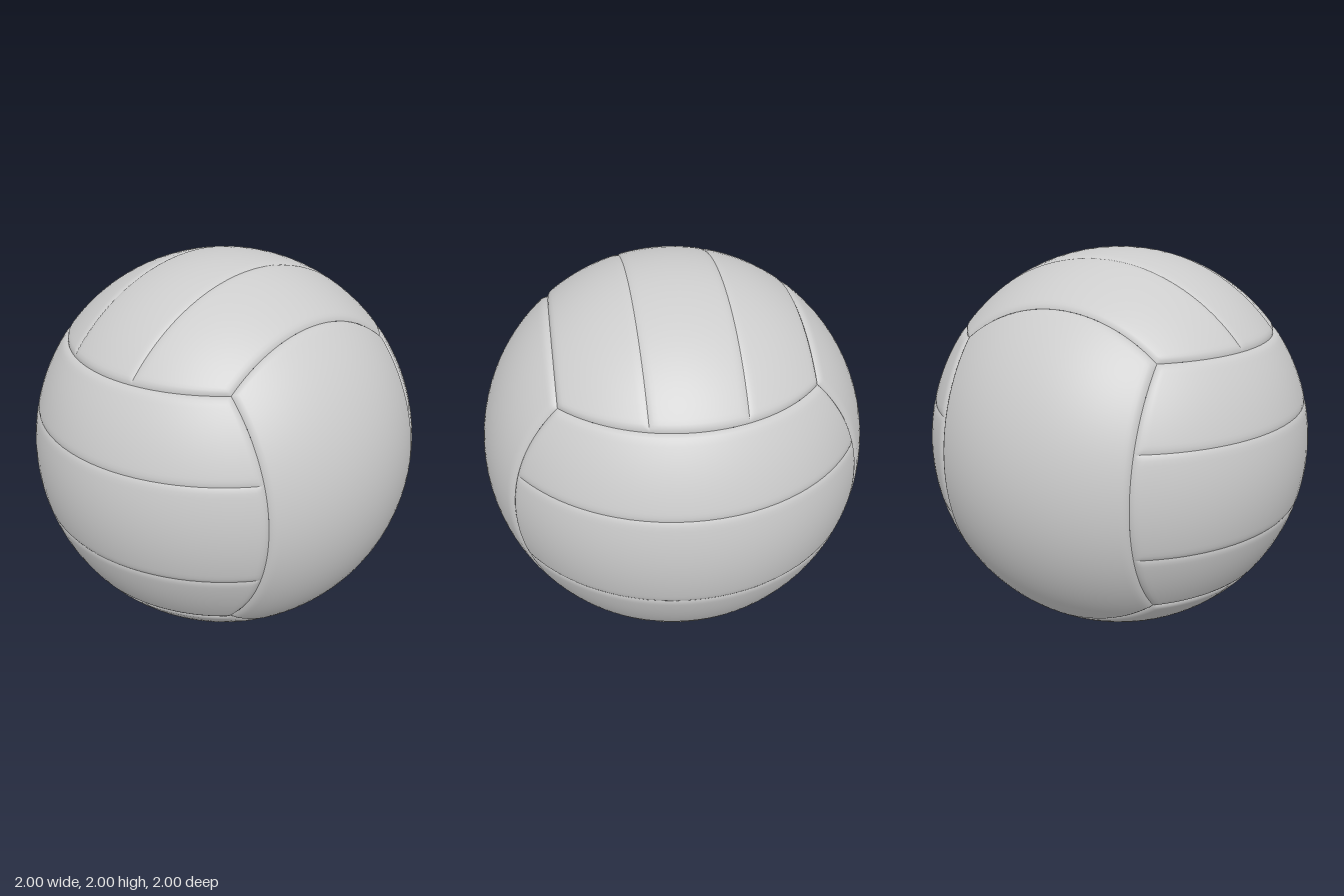
import * as THREE from 'three';

// Panel corners lie at (C, C, D) on the unit sphere
const C = 0.605;
const D = Math.sqrt(1 - 2 * C * C);
const STRIP = 0.22;
const PANEL_SEAM = { depth: 0.014, width: 0.035 };
const STRIP_SEAM = { depth: 0.006, width: 0.03 };

// Groove depth at a given distance from a seam
function dip(seam, distance) {
  const k = Math.max(0, 1 - distance / seam.width);
  return seam.depth * k * k;
}

// Fractions from 0 to 1, packed closely near both ends
const ease = (i, n) => (1 - Math.cos((Math.PI * i) / n)) / 2;

// One curved leather strip between u0 and u1 of its panel's cross axis.
// basis: [along, across, facing] directions; reach: facing coordinate of the end seams.
function stripGeometry(basis, u0, u1, halfWidth, reach, rows, cols) {
  const positions = [];
  const index = [];
  const matrix = new THREE.Matrix4().makeBasis(...basis);
  const p = new THREE.Vector3();
  const seamAt = (u) => (Math.abs(u) > halfWidth - 1e-6 ? PANEL_SEAM : STRIP_SEAM);
  const a0 = Math.asin(u0);
  const a1 = Math.asin(u1);
  for (let i = 0; i <= rows; i++) {
    const lat = a0 + (a1 - a0) * ease(i, rows);
    const ring = Math.cos(lat);
    const end = Math.acos(reach / ring);
    for (let j = 0; j <= cols; j++) {
      const t = end * (2 * ease(j, cols) - 1);
      const groove = Math.max(
        dip(seamAt(u0), lat - a0),
        dip(seamAt(u1), a1 - lat),
        dip(PANEL_SEAM, (end - Math.abs(t)) * ring)
      );
      p.set(ring * Math.sin(t), Math.sin(lat), ring * Math.cos(t));
      p.multiplyScalar(1 - groove).applyMatrix4(matrix);
      positions.push(p.x, p.y, p.z);
      if (i < rows && j < cols) {
        const a = i * (cols + 1) + j;
        const b = a + cols + 1;
        index.push(a, a + 1, b + 1, a, b + 1, b);
      }
    }
  }
  const geometry = new THREE.BufferGeometry();
  geometry.setAttribute('position', new THREE.Float32BufferAttribute(positions, 3));
  geometry.setIndex(index);
  geometry.computeVertexNormals();
  return geometry;
}

export function createModel() {
  const ball = new THREE.Group();
  ball.name = 'volleyball';
  const leather = new THREE.MeshStandardMaterial({ color: 0xcccccc });
  leather.name = 'light grey leather';

  const X = new THREE.Vector3(1, 0, 0);
  const Y = new THREE.Vector3(0, 1, 0);
  const Z = new THREE.Vector3(0, 0, 1);
  const threeStrips = [-C, -STRIP, STRIP, C];
  const frontStrips = [-C, -0.26, 0.25, C];

  // Opposite panels share a layout, turned half way round the across axis
  const layouts = [
    { names: ['frontPanel', 'backPanel'], axes: [X, Y, Z], cuts: frontStrips, reach: D },
    { names: ['topPanel', 'bottomPanel'], axes: [Z, X, Y], cuts: threeStrips, reach: C },
    { names: ['leftPanel', 'rightPanel'], axes: [Y, Z, X], cuts: [-D, D], reach: C },
  ];

  for (const { names, axes, cuts, reach } of layouts) {
    names.forEach((name, k) => {
      const sign = k === 0 ? 1 : -1;
      const [along, across, facing] = axes;
      const basis = [
        along.clone().multiplyScalar(sign),
        across.clone(),
        facing.clone().multiplyScalar(sign),
      ];
      const panel = new THREE.Group();
      panel.name = name;
      const rows = cuts.length > 2 ? 20 : 36;
      const halfWidth = cuts[cuts.length - 1];
      for (let s = 0; s < cuts.length - 1; s++) {
        const geometry = stripGeometry(basis, cuts[s], cuts[s + 1], halfWidth, reach, rows, 44);
        const strip = new THREE.Mesh(geometry, leather);
        strip.name = `${name}Strip${s + 1}`;
        panel.add(strip);
      }
      ball.add(panel);
    });
  }

  // Rest the ball on the ground
  ball.children.forEach((panel) => (panel.position.y = 1));
  return ball;
}
